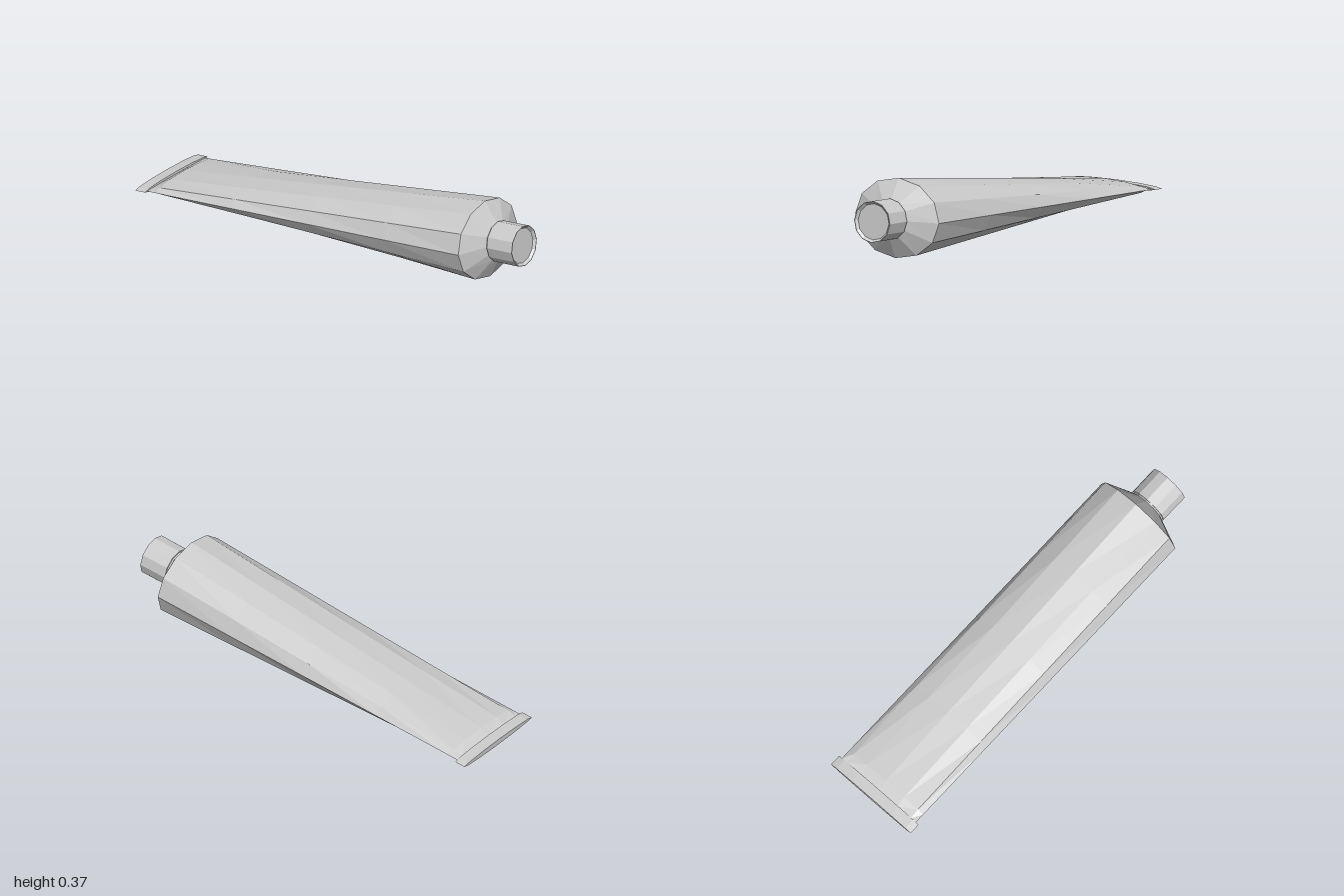
import * as THREE from 'three';

const SIDES = 12;
const material = new THREE.MeshStandardMaterial({ color: 0xcccccc, flatShading: true });

// Skins elliptical 12-sided rings [position along x, half height, half depth]
function loft(name, rings) {
  const point = ([x, h, d], k) => {
    const a = ((k % SIDES) / SIDES) * Math.PI * 2;
    return [x, h * Math.cos(a), d * Math.sin(a)];
  };
  const positions = [];
  for (let i = 0; i < rings.length - 1; i++) {
    const r0 = rings[i], r1 = rings[i + 1];
    for (let k = 0; k < SIDES; k++) {
      const a = point(r0, k), b = point(r1, k), c = point(r1, k + 1), d = point(r0, k + 1);
      if (r0[2] > 0) positions.push(...a, ...d, ...c);
      if (r1[2] > 0) positions.push(...a, ...c, ...b);
      else if (r0[2] === 0) continue;
    }
  }
  const geometry = new THREE.BufferGeometry();
  geometry.setAttribute('position', new THREE.Float32BufferAttribute(positions, 3));
  geometry.computeVertexNormals();
  const mesh = new THREE.Mesh(geometry, material);
  mesh.name = name;
  return mesh;
}

export function createModel() {
  const model = new THREE.Group();
  model.name = 'squeezeTube';

  // The tube lies on its underside, so its axis rises towards the cap
  const tilted = new THREE.Group();
  tilted.name = 'tiltedTube';
  tilted.rotation.z = 0.0776;
  tilted.position.y = 0.1222;
  model.add(tilted);

  // Body: constant width, flattening from the round shoulder to the pinched end
  const start = -0.9, end = 0.79;
  const bodyRings = [[-0.95, 0.003, 0.228]];
  for (let i = 0; i <= 4; i++) {
    const t = i / 4;
    bodyRings.push([
      THREE.MathUtils.lerp(start, end, t),
      THREE.MathUtils.lerp(0.03, 0.1835, t),
      0.228,
    ]);
  }
  tilted.add(loft('body', bodyRings));

  // Shoulder cone and short neck
  tilted.add(loft('shoulder', [
    [end, 0.1835, 0.228],
    [0.848, 0.088, 0.09],
    [0.87, 0.088, 0.09],
  ]));

  // Cap with a shallow dished end
  tilted.add(loft('cap', [
    [0.855, 0, 0],
    [0.855, 0.095, 0.097],
    [0.995, 0.096, 0.098],
    [0.995, 0.094, 0.095],
    [0.983, 0.083, 0.084],
    [0.983, 0, 0],
  ]));

  // Crimped flat end seal, slightly wider than the body
  tilted.add(loft('endSeal', [
    [-1.002, 0, 0],
    [-1.002, 0.015, 0.245],
    [-0.948, 0.015, 0.245],
    [-0.948, 0, 0],
  ]));

  return model;
}
